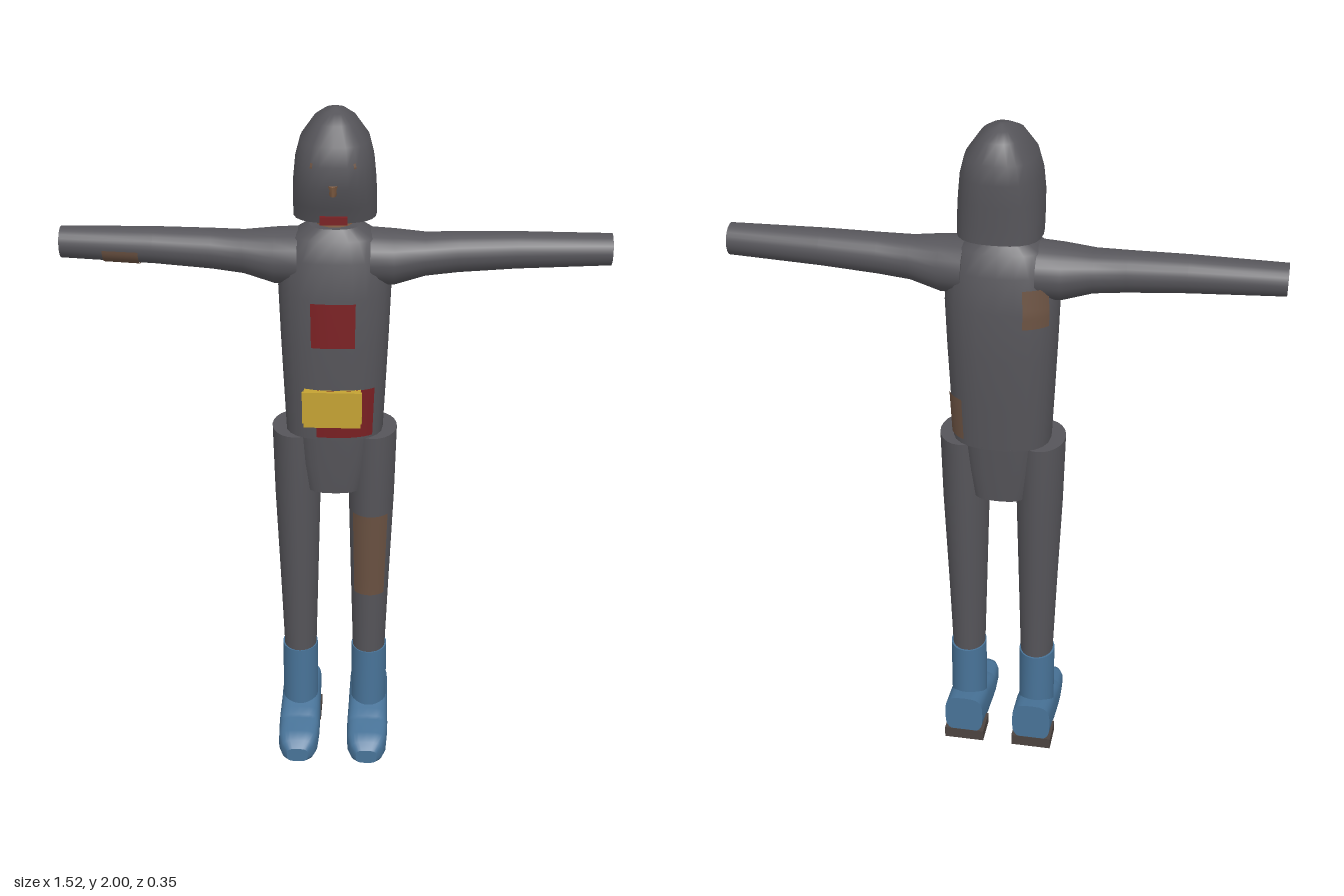
import * as THREE from 'three';

const mat = (name, color, side = THREE.FrontSide) => {
  const m = new THREE.MeshStandardMaterial({ color, side });
  m.name = name;
  return m;
};

// A section is [height, centreX, centreZ, radiusX, radiusZ]; find the one at height y.
function sectionAt(sections, y) {
  let i = 0;
  while (i < sections.length - 2 && y > sections[i + 1][0]) i++;
  const a = sections[i], b = sections[i + 1];
  const t = (y - a[0]) / (b[0] - a[0]);
  return a.map((v, k) => v + (b[k] - v) * t);
}

// Point on a superellipse section; angle 0 faces +z, a quarter turn faces +x.
function pointOn([y, cx, cz, rx, rz], angle, n, grow = 0) {
  const p = (v) => Math.sign(v) * Math.pow(Math.abs(v), 2 / n);
  return [cx + (rx + grow) * p(Math.sin(angle)), y, cz + (rz + grow) * p(Math.cos(angle))];
}

function build(pos, index) {
  const g = new THREE.BufferGeometry();
  g.setAttribute('position', new THREE.Float32BufferAttribute(pos, 3));
  g.setIndex(index);
  g.computeVertexNormals();
  return g;
}

// Closed body through the sections, with separate sharp-edged caps.
function loft(sections, n = 2, seg = 24) {
  const pos = [], index = [];
  const ring = (s) => {
    for (let j = 0; j < seg; j++) pos.push(...pointOn(s, (j / seg) * Math.PI * 2, n));
  };
  sections.forEach(ring);
  for (let i = 0; i < sections.length - 1; i++) {
    for (let j = 0; j < seg; j++) {
      const k = (j + 1) % seg, a = i * seg, b = a + seg;
      index.push(a + j, a + k, b + k, a + j, b + k, b + j);
    }
  }
  [sections[0], sections[sections.length - 1]].forEach((s, end) => {
    const a = pos.length / 3;
    ring(s);
    pos.push(s[1], s[0], s[2]);
    for (let j = 0; j < seg; j++) {
      const k = (j + 1) % seg;
      index.push(a + seg, ...(end ? [a + j, a + k] : [a + k, a + j]));
    }
  });
  return build(pos, index);
}

// Thin cloth patch that follows a lofted body.
function patch(sections, n, a0, a1, y0, y1, grow = 0.004) {
  const pos = [], index = [], N = 10;
  for (let i = 0; i <= N; i++) {
    const s = sectionAt(sections, y0 + ((y1 - y0) * i) / N);
    for (let j = 0; j <= N; j++) pos.push(...pointOn(s, a0 + ((a1 - a0) * j) / N, n, grow));
  }
  for (let i = 0; i < N; i++) {
    for (let j = 0; j < N; j++) {
      const a = i * (N + 1) + j, b = a + N + 1;
      index.push(a, a + 1, b + 1, a, b + 1, b);
    }
  }
  return build(pos, index);
}

export function createModel() {
  const model = new THREE.Group();
  const grey = mat('dark grey cloth', 0x56555a);
  const red = mat('dark red cloth', 0x7a2023, THREE.DoubleSide);
  const brown = mat('brown patch', 0x6b5242, THREE.DoubleSide);
  const skin = mat('skin', 0x8a6448);
  const yellow = mat('yellow pouch', 0xc4a233);
  const blue = mat('blue boot', 0x487398);
  const sole = mat('heel', 0x4c4440);
  const add = (name, geometry, material, x = 0, y = 0, z = 0) => {
    const m = new THREE.Mesh(geometry, material);
    m.name = name;
    m.position.set(x, y, z);
    model.add(m);
    return m;
  };

  // Hood
  const hood = [
    [1.705, 0, -0.066, 0.115, 0.102], [1.75, 0, -0.058, 0.115, 0.11],
    [1.81, 0, -0.046, 0.113, 0.124], [1.87, 0, -0.047, 0.107, 0.124],
    [1.92, 0, -0.05, 0.094, 0.115], [1.97, 0, -0.052, 0.058, 0.087],
    [1.99, 0, -0.057, 0.03, 0.048], [2.0, 0, -0.06, 0.004, 0.006],
  ];
  add('hood', loft(hood, 2.6), grey);
  for (const s of [-1, 1]) add('eye', patch(hood, 2.6, s * 0.46 - 0.035, s * 0.46 + 0.035, 1.866, 1.88, 0.002), brown);
  const nose = new THREE.CylinderGeometry(0.018, 0.008, 0.03, 4);
  add('nose', nose, skin, 0, 1.806, 0.072);
  add('mouth', new THREE.BoxGeometry(0.075, 0.022, 0.03), red, 0, 1.716, 0.038);
  add('neck', new THREE.CylinderGeometry(0.05, 0.05, 0.08, 20), skin, 0, 1.69, -0.038);

  // Torso and its patches
  const torso = [
    [1.07, 0, -0.037, 0.14, 0.107], [1.2, 0, -0.037, 0.146, 0.115],
    [1.36, 0, -0.038, 0.153, 0.122], [1.5, 0, -0.038, 0.158, 0.12],
    [1.6, 0, -0.037, 0.15, 0.109], [1.655, 0, -0.036, 0.12, 0.085],
    [1.685, 0, -0.035, 0.07, 0.065],
  ];
  add('torso', loft(torso, 2.5), grey);
  add('chestPatch', patch(torso, 2.5, -0.31, 0.31, 1.36, 1.49), red);
  add('bellyPatch', patch(torso, 2.5, -0.25, 0.8, 1.08, 1.23), red);
  add('sidePatch', patch(torso, 2.5, 1.9, 2.5, 1.09, 1.22), brown);
  add('backPatch', patch(torso, 2.5, -2.76, -2.15, 1.46, 1.57), brown);
  add('pouch', new THREE.BoxGeometry(0.16, 0.105, 0.04), yellow, -0.002, 1.177, 0.082);
  add('pouchFlap', new THREE.BoxGeometry(0.168, 0.095, 0.008), yellow, -0.002, 1.187, 0.103);
  add('pelvis', loft([
    [0.89, 0, -0.036, 0.085, 0.09], [0.98, 0, -0.036, 0.103, 0.1], [1.075, 0, -0.037, 0.114, 0.107],
  ], 3), grey);

  for (const s of [-1, 1]) {
    // Arm, lofted along its length and turned outward
    const arm = [
      [0.1, 1.59, -0.037, 0.078, 0.095], [0.165, 1.588, -0.036, 0.077, 0.086],
      [0.25, 1.597, -0.037, 0.06, 0.068], [0.34, 1.603, -0.04, 0.056, 0.06],
      [0.5, 1.61, -0.042, 0.051, 0.055], [0.76, 1.615, -0.044, 0.044, 0.046],
    ].map(([t, c, ...r]) => [t, -s * c, ...r]);
    add('arm', loft(arm), grey).rotation.z = -s * Math.PI / 2;
    if (s < 0) add('armPatch', patch(arm, 2, -1.5, -0.1, 0.54, 0.64, 0.003), brown).rotation.z = Math.PI / 2;

    // Leg
    const leg = [
      [0.3, s * 0.106, -0.042, 0.049, 0.057], [0.55, s * 0.107, -0.04, 0.057, 0.068],
      [0.85, s * 0.109, -0.038, 0.067, 0.088], [1.07, s * 0.112, -0.037, 0.069, 0.094],
    ];
    add('leg', loft(leg), grey);
    if (s > 0) add('thighPatch', patch(leg, 2, -0.85, 0.8, 0.53, 0.81), brown);

    // Boot: shaft, foot lofted from heel to toe, and heel block
    add('bootShaft', loft([
      [0.08, s * 0.107, -0.043, 0.054, 0.062], [0.315, s * 0.107, -0.043, 0.054, 0.062],
    ]), blue);
    const foot = [
      [-0.147, 0.03, 0.16, 0.059], [-0.05, 0.022, 0.142, 0.061], [-0.045, 0.006, 0.14, 0.061],
      [0.03, 0.005, 0.115, 0.063], [0.062, 0.005, 0.108, 0.063], [0.066, 0.005, 0.098, 0.063],
      [0.13, 0.005, 0.096, 0.06], [0.16, 0.008, 0.08, 0.049], [0.177, 0.014, 0.06, 0.032],
    ].map(([z, lo, hi, w]) => [z, s * 0.106, -(lo + hi) / 2, w, (hi - lo) / 2]);
    add('bootFoot', loft(foot, 3.4), blue).rotation.x = Math.PI / 2;
    add('bootHeel', new THREE.BoxGeometry(0.122, 0.036, 0.09), sole, s * 0.106, 0.018, -0.103);
  }
  return model;
}
